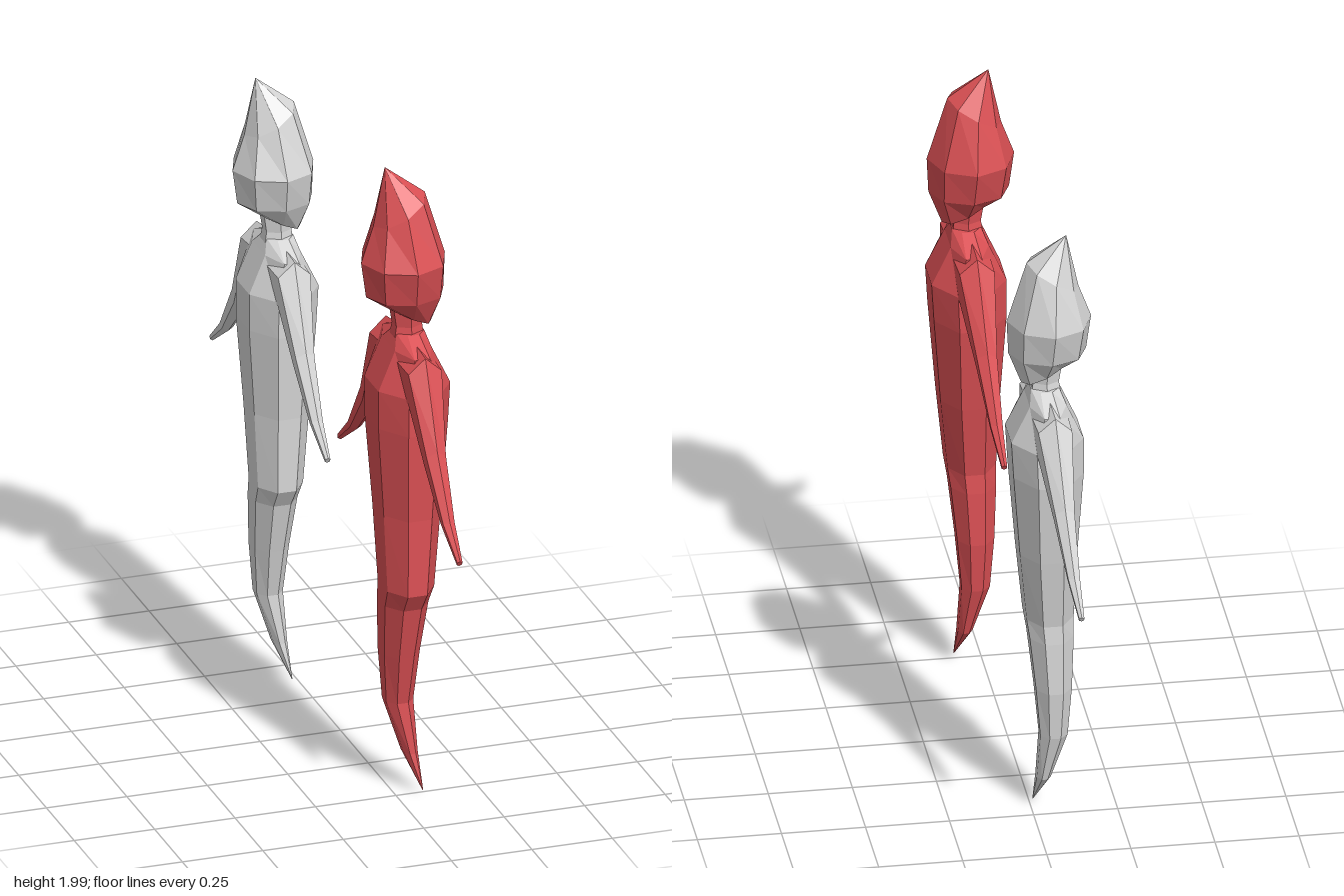
import * as THREE from 'three';

// Skin a list of equally sized rings (ordered from start to end) and close both ends.
function loft(rings) {
  const pos = [];
  const n = rings[0].length;
  const tri = (...pts) => pts.forEach((p) => pos.push(p.x, p.y, p.z));
  const middle = (ring) => ring.reduce((s, p) => s.add(p), new THREE.Vector3()).divideScalar(n);
  const first = rings[0], last = rings[rings.length - 1];
  const c0 = middle(first), c1 = middle(last);
  for (let j = 0; j < n; j++) {
    const k = (j + 1) % n;
    for (let i = 0; i < rings.length - 1; i++) {
      tri(rings[i][j], rings[i + 1][j], rings[i + 1][k]);
      tri(rings[i][j], rings[i + 1][k], rings[i][k]);
    }
    tri(c0, first[j], first[k]);
    tri(c1, last[k], last[j]);
  }
  const geo = new THREE.BufferGeometry();
  geo.setAttribute('position', new THREE.Float32BufferAttribute(pos, 3));
  geo.computeVertexNormals();
  return geo;
}

// Horizontal ring filling x0..x1 and z0..z1; tilt raises its +x side.
function ring([y, x0, x1, z0, z1, tilt = 0], sides, phase) {
  const grow = 1 / Math.cos(phase);
  return Array.from({ length: sides }, (_, i) => {
    const a = (i / sides) * Math.PI * 2 + phase;
    const c = Math.cos(a), s = Math.sin(a);
    return new THREE.Vector3(
      (x0 + x1) / 2 + ((x1 - x0) / 2) * c * grow,
      y + tilt * c,
      (z0 + z1) / 2 + ((z1 - z0) / 2) * s * grow);
  });
}

// y, x range, z range
const BODY = [
  [0.02, 0.079, 0.081, 0.509, 0.511],
  [0.13, 0.035, 0.078, 0.42, 0.49],
  [0.29, -0.012, 0.072, 0.38, 0.475],
  [0.45, -0.025, 0.085, 0.365, 0.51],
  [0.62, -0.033, 0.102, 0.37, 0.55],
  [0.68, -0.035, 0.11, 0.375, 0.588],
  [0.92, -0.042, 0.135, 0.335, 0.585],
  [1.2, -0.058, 0.158, 0.295, 0.6],
  [1.32, -0.058, 0.165, 0.295, 0.6],
  [1.44, -0.005, 0.108, 0.3, 0.59],
  [1.48, 0.012, 0.098, 0.395, 0.5],
];
const NECK = [
  [1.43, 0.0, 0.1, 0.4, 0.495],
  [1.5, 0.012, 0.092, 0.412, 0.485],
  [1.58, 0.0, 0.095, 0.405, 0.49],
];
const HEAD = [
  [1.53, -0.015, 0.125, 0.39, 0.505, -0.035],
  [1.6, -0.075, 0.165, 0.338, 0.557],
  [1.71, -0.09, 0.17, 0.308, 0.586],
  [1.865, -0.05, 0.11, 0.355, 0.525, 0.045],
  [2.0, -0.011, -0.009, 0.429, 0.431],
];

// Arm stations: upper edge (z, y), lower edge (z, y), x centre, half thickness
const ARM = [
  [0.52, 1.465, 0.52, 1.26, 0.05, 0.055],
  [0.61, 1.452, 0.6, 1.265, 0.05, 0.052],
  [0.73, 1.2, 0.69, 1.13, 0.042, 0.03],
  [0.85, 1.025, 0.81, 1.005, 0.036, 0.018],
  [0.943, 0.94, 0.933, 0.922, 0.032, 0.008],
];
const MID_Z = 0.4425;

function armGeometry(side) {
  return loft(ARM.map(([zo, yo, zi, yi, cx, r], station) => {
    const reach = station / (ARM.length - 1);
    const outer = new THREE.Vector3(cx, yo, MID_Z + side * (zo - MID_Z));
    const inner = new THREE.Vector3(cx, yi, MID_Z + side * (zi - MID_Z));
    const centre = outer.clone().add(inner).multiplyScalar(0.5);
    const across = inner.clone().sub(outer).multiplyScalar(0.5 * side);
    return Array.from({ length: 6 }, (_, i) => {
      const a = (i / 6) * Math.PI * 2 + Math.PI / 6;
      const p = centre.clone().addScaledVector(across, Math.sin(a));
      p.x += r * 1.15 * Math.cos(a) + side * 0.015 * reach; // hands drift apart in x
      return p;
    });
  }));
}

function createFigure(name, material) {
  const figure = new THREE.Group();
  figure.name = name;
  const add = (part, geo) => {
    const mesh = new THREE.Mesh(geo, material);
    mesh.name = part;
    figure.add(mesh);
  };
  const eighth = Math.PI / 8;
  add('body', loft(BODY.map((r) => ring(r, 8, eighth))));
  add('neck', loft(NECK.map((r) => ring(r, 6, Math.PI / 6))));
  add('head', loft(HEAD.map((r) => ring(r, 8, 0))));
  add('frontArm', armGeometry(1));
  add('backArm', armGeometry(-1));
  return figure;
}

export function createModel() {
  const flat = (name, color) => {
    const m = new THREE.MeshStandardMaterial({ color, flatShading: true });
    m.name = name;
    return m;
  };
  const model = new THREE.Group();
  model.name = 'floatingFigures';

  const red = createFigure('redFigure', flat('red', 0xdb5054));
  const pale = createFigure('paleFigure', flat('paleGrey', 0xd6d6d6));
  // The pale one is slightly smaller and floats behind
  pale.scale.setScalar(0.965);
  pale.position.set(-0.09, -0.01, -0.891);

  model.add(red, pale);
  return model;
}
